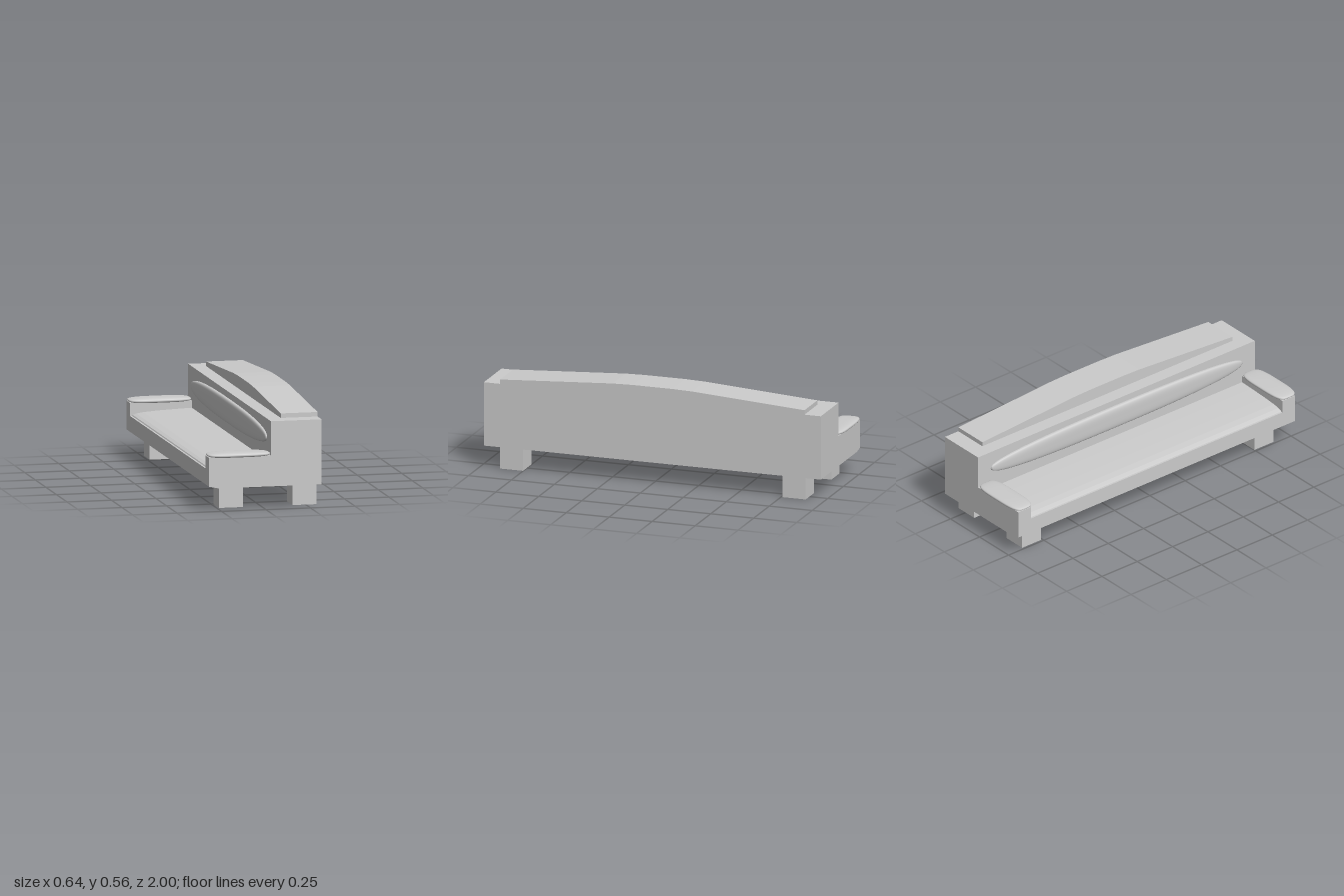
import * as THREE from 'three';
import { mergeVertices } from 'three/addons/utils/BufferGeometryUtils.js';

const material = new THREE.MeshStandardMaterial({ color: 0xcccccc });

function addMesh(group, name, geometry) {
  const mesh = new THREE.Mesh(geometry, material);
  mesh.name = name;
  group.add(mesh);
  return mesh;
}

// Extrudes an x-y outline along z between z0 and z1
function prism(points, z0, z1) {
  const shape = new THREE.Shape(points.map(([x, y]) => new THREE.Vector2(x, y)));
  return new THREE.ExtrudeGeometry(shape, { depth: z1 - z0, bevelEnabled: false }).translate(0, 0, z0);
}

// Soft pad: a sphere reshaped into a superellipsoid, thin along y
function pad(halfX, halfY, halfZ, outlinePower, profilePower) {
  const geometry = new THREE.SphereGeometry(1, 64, 32);
  geometry.deleteAttribute('uv');
  geometry.deleteAttribute('normal');
  const pos = geometry.attributes.position;
  const spow = (v, p) => (Math.abs(v) < 1e-6 ? 0 : Math.sign(v) * Math.abs(v) ** (2 / p));
  for (let i = 0; i < pos.count; i++) {
    const x = pos.getX(i), y = pos.getY(i), z = pos.getZ(i);
    const r = Math.hypot(x, z);
    const ring = spow(r, profilePower);
    const cos = r > 1e-6 ? x / r : 0, sin = r > 1e-6 ? z / r : 0;
    pos.setXYZ(i,
      halfX * ring * spow(cos, outlinePower),
      halfY * spow(y, profilePower),
      halfZ * ring * spow(sin, outlinePower));
  }
  const merged = mergeVertices(geometry, 1e-6);
  merged.computeVertexNormals();
  return merged;
}

export function createModel() {
  const sofa = new THREE.Group();
  sofa.name = 'sofa';

  // Wooden frame, set slightly back from the centre of the arm pads
  const frame = new THREE.Group();
  frame.name = 'frame';
  frame.position.z = -0.004;
  sofa.add(frame);
  const outerZ = 0.98, innerZ = 0.89;

  // Side profile with given heights at the seat's back and front edges
  const profile = (back, front) => [
    [-0.26, 0.124], [0.318, 0.124], [0.318, 0.485], [0.033, 0.485],
    [0.033, back], [-0.314, front], [-0.314, 0.135],
  ];
  addMesh(frame, 'seatAndBack', prism(profile(0.235, 0.223), -innerZ, innerZ));

  // Seat cushion rising towards the back, with a softened front edge
  addMesh(frame, 'seatCushion', prism([
    [-0.306, 0.22], [0.036, 0.22], [0.036, 0.256], [-0.05, 0.253],
    [-0.16, 0.248], [-0.24, 0.242], [-0.28, 0.236], [-0.3, 0.229],
  ], -innerZ, innerZ));

  // Arms, each topped by a rounded pad
  for (const side of [-1, 1]) {
    const label = side > 0 ? 'front' : 'rear';
    const z0 = side > 0 ? innerZ : -outerZ;
    addMesh(frame, `${label}Arm`, prism(profile(0.295, 0.295), z0, z0 + outerZ - innerZ));
    const armPad = addMesh(sofa, `${label}ArmPad`, pad(0.1755, 0.0145, 0.067, 3.8, 2.8));
    armPad.position.set(-0.1425, 0.3045, side * 0.933);
  }

  // Oval back pad standing against the back rest
  const backPad = addMesh(frame, 'backPad', pad(0.067, 0.023, 0.89, 2.5, 3.6).rotateZ(Math.PI / 2));
  backPad.position.set(0.033, 0.382, 0);

  // Arched top rail, outlined across z and extruded along x
  const arch = [[0.885, 0.51], [0.23, 0.552], [0.115, 0.555]];
  const rail = [
    [-0.885, 0.48], [0.885, 0.48], ...arch,
    ...arch.slice().reverse().map(([z, y]) => [-z, y]),
  ];
  addMesh(frame, 'topRail', prism(rail, 0.111, 0.318).rotateY(Math.PI / 2));

  // Block legs
  for (const x of [-0.17, 0.243]) {
    for (const z of [-0.822, 0.822]) {
      const leg = addMesh(frame, 'leg', new THREE.BoxGeometry(0.134, 0.13, 0.134));
      leg.position.set(x, 0.065, z);
    }
  }
  return sofa;
}
